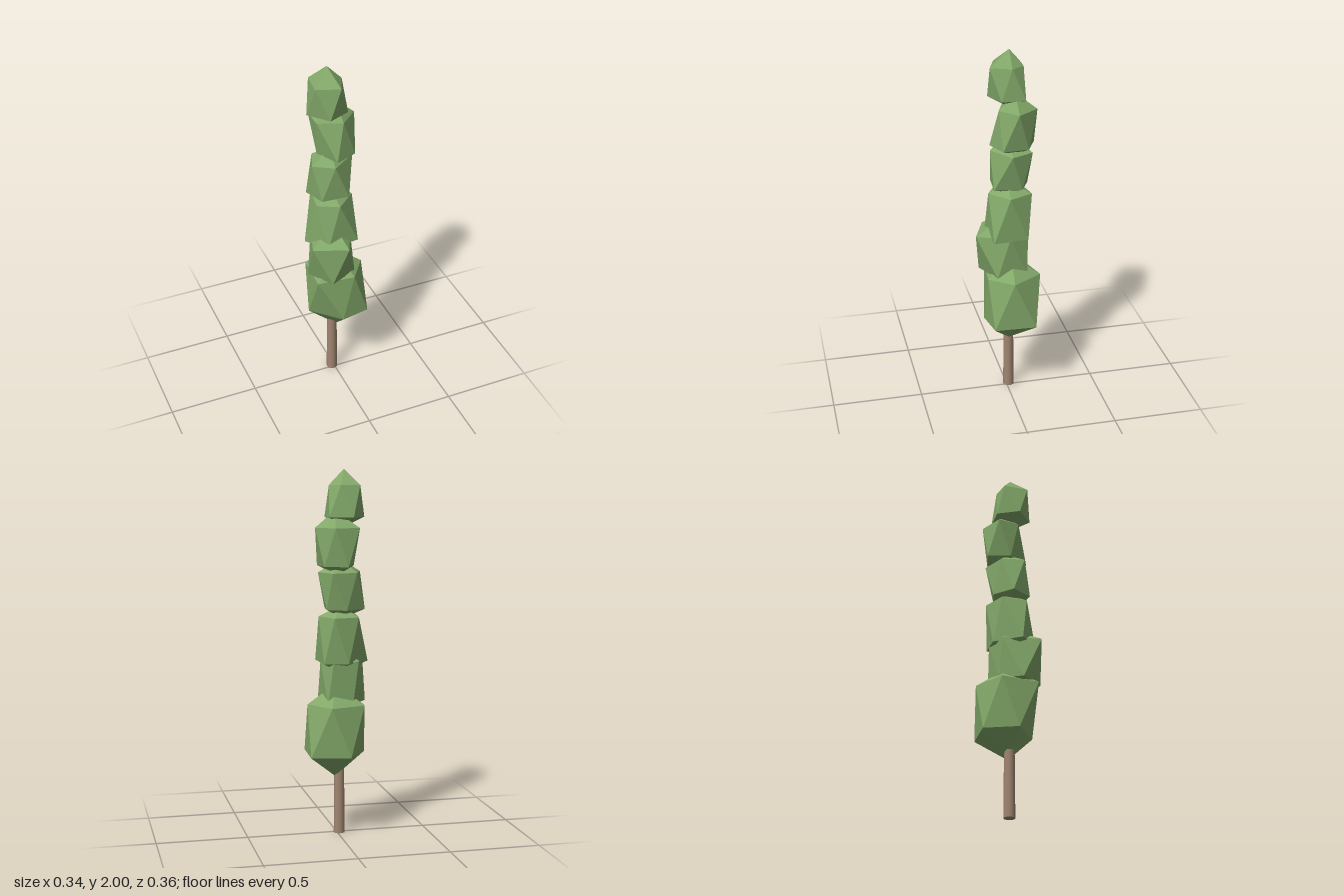
import * as THREE from 'three';

// Faceted clump: top point, upper ring of five, lower ring of five, bottom point.
// Rings run from +x towards +z; each lower point sits between two upper ones.
function clumpGeometry(top, upperY, upper, lowerY, lower, bottom) {
  const u = upper.map(([x, z]) => [x, upperY, z]);
  const l = lower.map(([x, z]) => [x, lowerY, z]);
  const pos = [];
  for (let i = 0; i < 5; i++) {
    const j = (i + 1) % 5;
    pos.push(...top, ...u[j], ...u[i]);
    pos.push(...u[i], ...u[j], ...l[i]);
    pos.push(...l[i], ...u[j], ...l[j]);
    pos.push(...bottom, ...l[i], ...l[j]);
  }
  const g = new THREE.BufferGeometry();
  g.setAttribute('position', new THREE.Float32BufferAttribute(pos, 3));
  g.computeVertexNormals(); // unshared corners give flat facets
  return g;
}

export function createModel() {
  const tree = new THREE.Group();
  tree.name = 'tree';
  const leaf = new THREE.MeshStandardMaterial({ color: 0x82a869, flatShading: true });
  leaf.name = 'leaf green';
  const bark = new THREE.MeshStandardMaterial({ color: 0xa08570 });
  bark.name = 'bark brown';

  // Trunk
  const trunk = new THREE.Mesh(new THREE.CylinderGeometry(0.027, 0.031, 0.5, 12), bark);
  trunk.name = 'trunk';
  trunk.position.set(-0.012, 0.25, -0.012);
  tree.add(trunk);

  const addClump = (name, ...shape) => {
    const mesh = new THREE.Mesh(clumpGeometry(...shape), leaf);
    mesh.name = name;
    tree.add(mesh);
  };

  // Foliage, from the ground up
  addClump('foliageBottom', [0.01, 0.84, -0.02],
    0.73, [[0.165, -0.01], [0.07, 0.12], [-0.14, 0.1], [-0.13, -0.115], [0.063, -0.175]],
    0.455, [[0.16, 0.1], [0, 0.13], [-0.15, -0.02], [-0.04, -0.18], [0.17, -0.13]],
    [0.01, 0.32, -0.01]);
  addClump('foliageLower', [-0.02, 1.06, 0.01],
    0.97, [[0.09, 0], [0.013, 0.175], [-0.17, 0.103], [-0.1, -0.1], [0.04, -0.11]],
    0.74, [[0.09, 0.07], [-0.07, 0.145], [-0.16, 0], [-0.07, -0.1], [0.07, -0.1]],
    [-0.02, 0.68, 0.01]);
  addClump('foliageLowerMiddle', [-0.02, 1.27, -0.01],
    1.21, [[0.1, 0], [-0.01, 0.1], [-0.12, 0.04], [-0.1, -0.1], [0.04, -0.13]],
    0.96, [[0.1, 0.09], [-0.08, 0.11], [-0.172, -0.01], [-0.04, -0.125], [0.09, -0.1]],
    [-0.02, 0.9, -0.01]);
  addClump('foliageUpperMiddle', [-0.02, 1.52, -0.02],
    1.45, [[0.105, -0.01], [-0.03, 0.085], [-0.135, 0.02], [-0.09, -0.1], [0.05, -0.13]],
    1.25, [[0.05, 0.08], [-0.1, 0.07], [-0.145, -0.05], [-0.03, -0.12], [0.07, -0.07]],
    [-0.03, 1.2, -0.02]);
  addClump('foliageUpper', [0.02, 1.78, -0.04],
    1.69, [[0.127, -0.04], [0.03, 0.05], [-0.1, 0], [-0.1, -0.12], [0.04, -0.155]],
    1.485, [[0.1, 0.04], [-0.02, 0.09], [-0.085, -0.04], [-0.03, -0.155], [0.09, -0.1]],
    [0, 1.43, -0.04]);
  addClump('foliageTop', [-0.035, 2, -0.02],
    1.915, [[0.047, -0.02], [0, 0.09], [-0.125, 0.045], [-0.108, -0.09], [-0.003, -0.09]],
    1.745, [[0.058, 0.04], [-0.06, 0.092], [-0.15, -0.015], [-0.067, -0.117], [0.06, -0.09]],
    [-0.035, 1.69, -0.01]);

  return tree;
}
